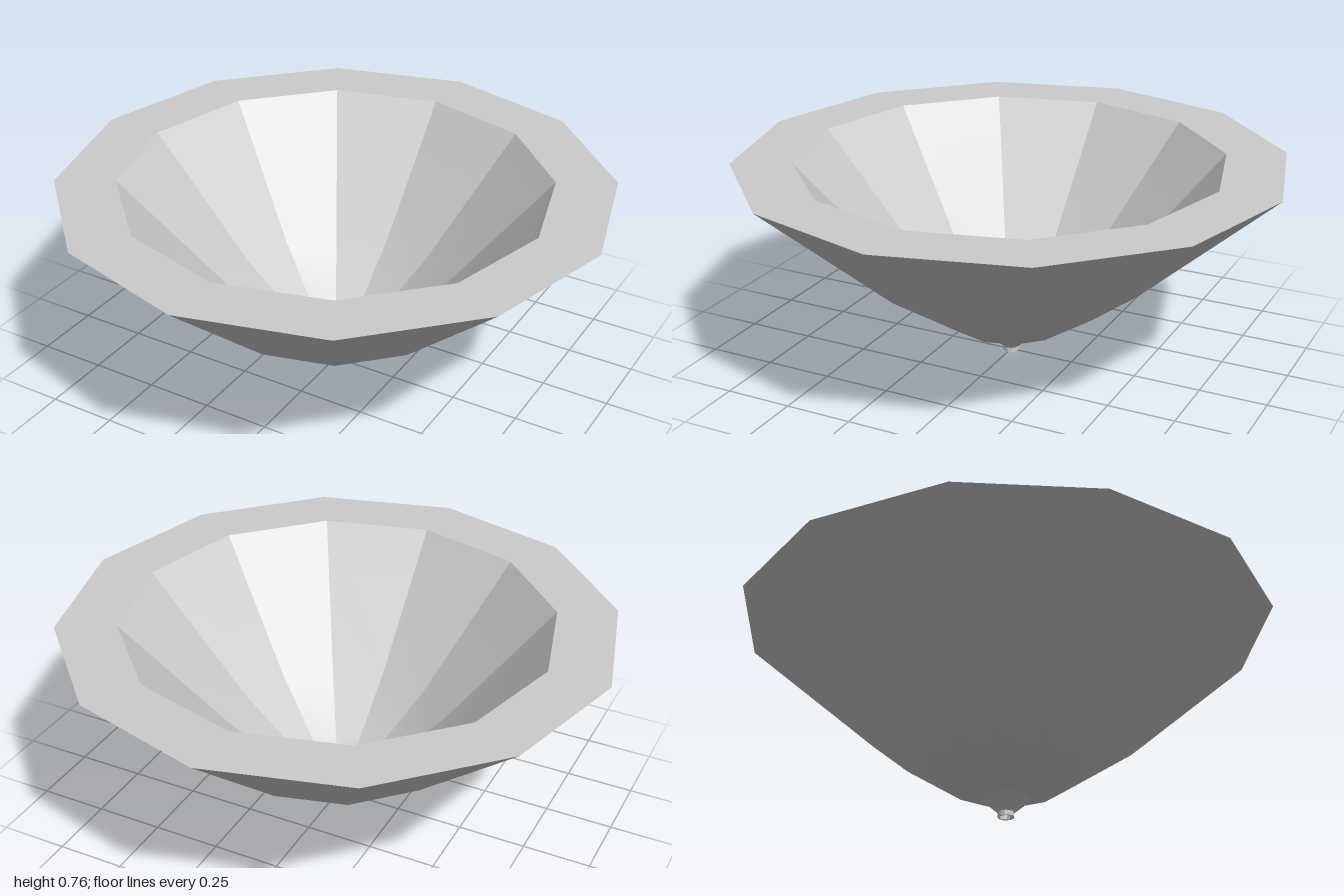
import * as THREE from 'three';
import { toCreasedNormals } from 'three/addons/utils/BufferGeometryUtils.js';

const SIDES = 12;
const INNER_SCALE = 0.78; // the inner wall is the outer wall drawn in towards the axis

// Outer wall, from the drain up to the rim: [radius, height]
const WALL = [
  [0.03, 0], [0.03, 0.018], [0.09, 0.07], [0.22, 0.125], [0.5, 0.315], [1, 0.76],
];

function lathePart(name, points, material) {
  const profile = points.map(([r, y]) => new THREE.Vector2(r, y));
  const geometry = toCreasedNormals(
    new THREE.LatheGeometry(profile, SIDES), THREE.MathUtils.degToRad(15));
  const mesh = new THREE.Mesh(geometry, material);
  mesh.name = name;
  return mesh;
}

export function createModel() {
  const group = new THREE.Group();
  group.name = 'bowl';
  const material = new THREE.MeshStandardMaterial({ color: 0xcccccc });

  const inner = WALL.map(([r, y]) => [r * INNER_SCALE, y]).reverse();

  // Faceted outside, flat rim, inside with an open drain, and the foot ring
  group.add(
    lathePart('outerWall', WALL, material),
    lathePart('rim', [WALL[WALL.length - 1], inner[0]], material),
    lathePart('innerWall', inner, material),
    lathePart('drainRing', [inner[inner.length - 1], WALL[0]], material),
  );
  return group;
}
